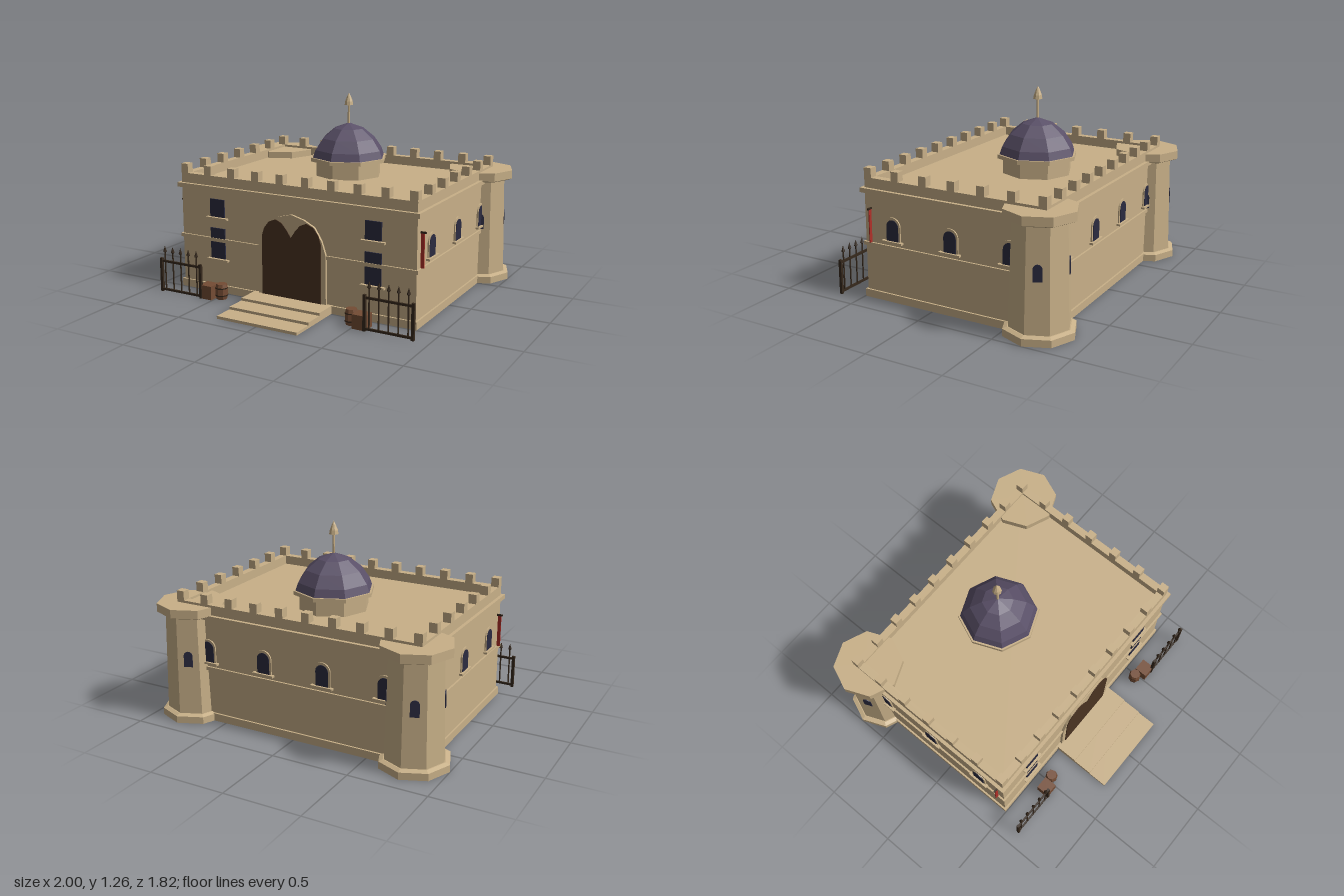
import * as THREE from 'three';

const mat = (name, color, extra = {}) => {
  const m = new THREE.MeshStandardMaterial({ color, ...extra });
  m.name = name;
  return m;
};

export function createModel() {
  const root = new THREE.Group();
  root.name = 'castleHall';
  const stone = mat('sandstone', 0xc8b088, { flatShading: true });
  const slate = mat('purpleSlate', 0x5a5068, { flatShading: true });
  const glass = mat('darkGlass', 0x2b2b40);
  const timber = mat('doorTimber', 0x4a3322);
  const iron = mat('darkIron', 0x35281c, { flatShading: true });
  const wood = mat('crateWood', 0x744c34, { flatShading: true });
  const cloth = mat('redCloth', 0xb03028);

  const add = (name, geo, material, x = 0, y = 0, z = 0, parent = root) => {
    const m = new THREE.Mesh(geo, material);
    m.name = name;
    m.position.set(x, y, z);
    parent.add(m);
    return m;
  };
  // Box given by its min and max corners
  const box = (name, material, x0, x1, y0, y1, z0, z1, parent) =>
    add(name, new THREE.BoxGeometry(x1 - x0, y1 - y0, z1 - z0), material,
      (x0 + x1) / 2, (y0 + y1) / 2, (z0 + z1) / 2, parent);
  // Eight-sided turned part with corners on the axes
  const turned = (name, material, pts, x, y, z, parent, sides = 8) =>
    add(name, new THREE.LatheGeometry(pts.map(p => new THREE.Vector2(...p)), sides), material, x, y, z, parent);
  const plate = (name, material, shape, depth, z, parent) =>
    add(name, new THREE.ExtrudeGeometry(shape, { depth, bevelEnabled: false, curveSegments: 8 }), material, 0, 0, z, parent);
  const group = (name, x, y, z, ry = 0, parent = root) => {
    const g = new THREE.Group();
    g.name = name;
    g.position.set(x, y, z);
    g.rotation.y = ry;
    parent.add(g);
    return g;
  };
  const polygon = pts => new THREE.Shape(pts.map(p => new THREE.Vector2(...p)));

  // Main block with plinth, string course and cornice
  const W = 0.84, F = 0.485, B = -0.757;
  box('mainWalls', stone, -W, W, 0, 0.71, B, F);
  const band = (name, out, y0, y1) => box(name, stone, -W - out, W + out, y0, y1, B - out, F + out);
  band('plinth', 0.012, 0, 0.05);
  band('stringCourse', 0.012, 0.34, 0.363);
  band('cornice', 0.022, 0.677, 0.706);

  // Parapet and merlons
  const T = 0.05;
  box('frontParapet', stone, -W, W, 0.7, 0.77, F - T, F);
  box('backParapet', stone, -W, W, 0.7, 0.77, B, B + T);
  for (const s of [-1, 1]) {
    const a = s * W, b = s * (W - T);
    box('sideParapet', stone, Math.min(a, b), Math.max(a, b), 0.7, 0.77, B + T, F - T);
  }
  const merlon = new THREE.BoxGeometry(0.052, 0.062, 0.052);
  for (let i = 0; i < 10; i++)
    for (const z of [F - T / 2, B + T / 2]) add('merlon', merlon, stone, -0.815 + i * 0.181, 0.799, z);
  for (let i = 1; i < 6; i++)
    for (const s of [-1, 1]) add('merlon', merlon, stone, s * 0.815, 0.799, 0.46 - i * 0.1987);

  // Round-headed window facing local +z, with surround and sill
  const archShape = (w, y0, y1) => {
    const s = new THREE.Shape(), r = w / 2;
    s.moveTo(-r, y0);
    s.lineTo(r, y0);
    s.lineTo(r, y1 - r);
    s.absarc(0, y1 - r, r, 0, Math.PI, false);
    s.closePath();
    return s;
  };
  const archWindow = (x, z, ry) => {
    const g = group('archWindow', x, 0, z, ry);
    plate('windowSurround', stone, archShape(0.11, 0.395, 0.545), 0.008, 0, g);
    plate('windowGlass', glass, archShape(0.085, 0.397, 0.53), 0.006, 0.005, g);
    box('windowSill', stone, -0.073, 0.073, 0.384, 0.397, 0, 0.024, g);
  };
  for (const z of [0.28, -0.13, -0.53]) {
    archWindow(W, z, Math.PI / 2);
    archWindow(-W, z, -Math.PI / 2);
  }
  for (const x of [-0.615, -0.205, 0.205, 0.615]) archWindow(x, B, Math.PI);

  // Square front windows; the lower ones run behind the string course
  for (const s of [-1, 1]) {
    const g = group('frontWindows', s * 0.56, 0, F);
    box('upperGlass', glass, -0.055, 0.055, 0.505, 0.622, 0, 0.008, g);
    box('upperSill', stone, -0.08, 0.08, 0.49, 0.503, 0, 0.022, g);
    box('lowerGlass', glass, -0.055, 0.055, 0.228, 0.43, 0, 0.008, g);
    box('lowerSill', stone, -0.08, 0.08, 0.212, 0.226, 0, 0.022, g);
  }

  // Doorway: pointed surround and twin-headed opening
  const mirrored = half => polygon([...half, ...half.slice().reverse().filter(p => p[0]).map(([x, y]) => [-x, y])]);
  plate('doorSurround', stone,
    mirrored([[0.245, 0.05], [0.245, 0.36], [0.215, 0.45], [0.165, 0.53], [0.09, 0.568], [0, 0.592]]), 0.016, F);
  plate('door', timber,
    mirrored([[0.212, 0.05], [0.212, 0.43], [0.195, 0.485], [0.16, 0.53], [0.11, 0.55], [0.065, 0.53],
      [0.03, 0.49], [0, 0.445]]), 0.006, F + 0.015);

  // Entrance steps
  [[0.052, 0.645], [0.035, 0.775], [0.018, 0.907]].forEach(([y, z]) =>
    box('step', stone, -0.282, 0.282, 0, y, F, z));

  // Octagonal back towers
  for (const s of [-1, 1]) {
    const g = group('backTower', s * 0.777, 0, -0.688);
    turned('towerBase', stone, [[0, 0], [0.222, 0], [0.222, 0.045], [0.195, 0.055], [0, 0.055]], 0, 0, 0, g);
    turned('towerShaft', stone, [[0.188, 0.05], [0.17, 0.7]], 0, 0, 0, g);
    turned('towerCap', stone, [[0, 0.69], [0.2, 0.69], [0.222, 0.7], [0.222, 0.755], [0, 0.755]], 0, 0, 0, g);
    for (let k = 0; k < 4; k++) {
      const side = group('towerWindow', 0, 0, 0, Math.PI / 8 + (k + 1) * Math.PI / 2, g);
      const w = plate('towerGlass', glass, archShape(0.055, -0.05, 0.05), 0.006, 0.1645, side);
      w.position.y = 0.42;
      w.rotation.x = -0.026;
    }
  }

  // Dome on its drum, with finial
  const dome = group('dome', 0, 0, -0.25);
  turned('drum', stone, [[0.225, 0.7], [0.225, 0.815]], 0, 0, 0, dome);
  turned('domeRing', stone, [[0, 0.81], [0.262, 0.81], [0.262, 0.835], [0, 0.835]], 0, 0, 0, dome);
  turned('domeRoof', slate,
    [[0.25, 0.833], [0.232, 0.885], [0.18, 0.96], [0.1, 1.025], [0, 1.062]], 0, 0, 0, dome);
  turned('finialPole', stone, [[0.008, 1.04], [0.008, 1.19]], 0, 0, 0, dome);
  turned('finialHead', stone,
    [[0, 1.18], [0.03, 1.18], [0.026, 1.205], [0.012, 1.24], [0, 1.262]], 0, 0, 0, dome);

  for (const s of [-1, 1]) {
    // Side banner on a short rod
    const b = group('banner', s * 0.856, 0, 0.44);
    box('bannerCloth', cloth, -0.012, 0.010, 0.365, 0.575, -0.003, 0.003, b);
    box('bannerRod', iron, -0.02, 0.02, 0.575, 0.586, -0.005, 0.005, b);

    // Iron fence with spear-headed bars
    const f = group('fence', s * 0.743, 0, 0.652);
    for (const e of [-1, 1]) box('fencePost', iron, e * 0.155 - 0.009, e * 0.155 + 0.009, 0, 0.225, -0.009, 0.009, f);
    for (const y of [0.008, 0.2]) box('fenceRail', iron, -0.155, 0.155, y, y + 0.014, -0.006, 0.006, f);
    for (let i = -2; i <= 2; i++) {
      turned('fenceBar', iron, [[0.005, 0.01], [0.005, 0.27]], i * 0.0625, 0, 0, f, 6);
      turned('spearHead', iron, [[0, 0.262], [0.012, 0.272], [0, 0.312]], i * 0.0625, 0, 0, f, 6);
    }

    // Crate and barrel
    const c = group('crate', s * 0.551, 0, 0.612);
    box('crateBox', wood, -0.044, 0.044, 0, 0.09, -0.044, 0.044, c);
    const k = group('barrel', s * 0.47, 0, 0.59);
    turned('barrelBody', wood,
      [[0, 0], [0.034, 0], [0.041, 0.03], [0.041, 0.07], [0.034, 0.1], [0, 0.1]], 0, 0, 0, k);
    for (const y of [0.022, 0.07])
      turned('barrelHoop', iron, [[0.0415, y], [0.0425, y + 0.008]], 0, 0, 0, k);
  }
  return root;
}
